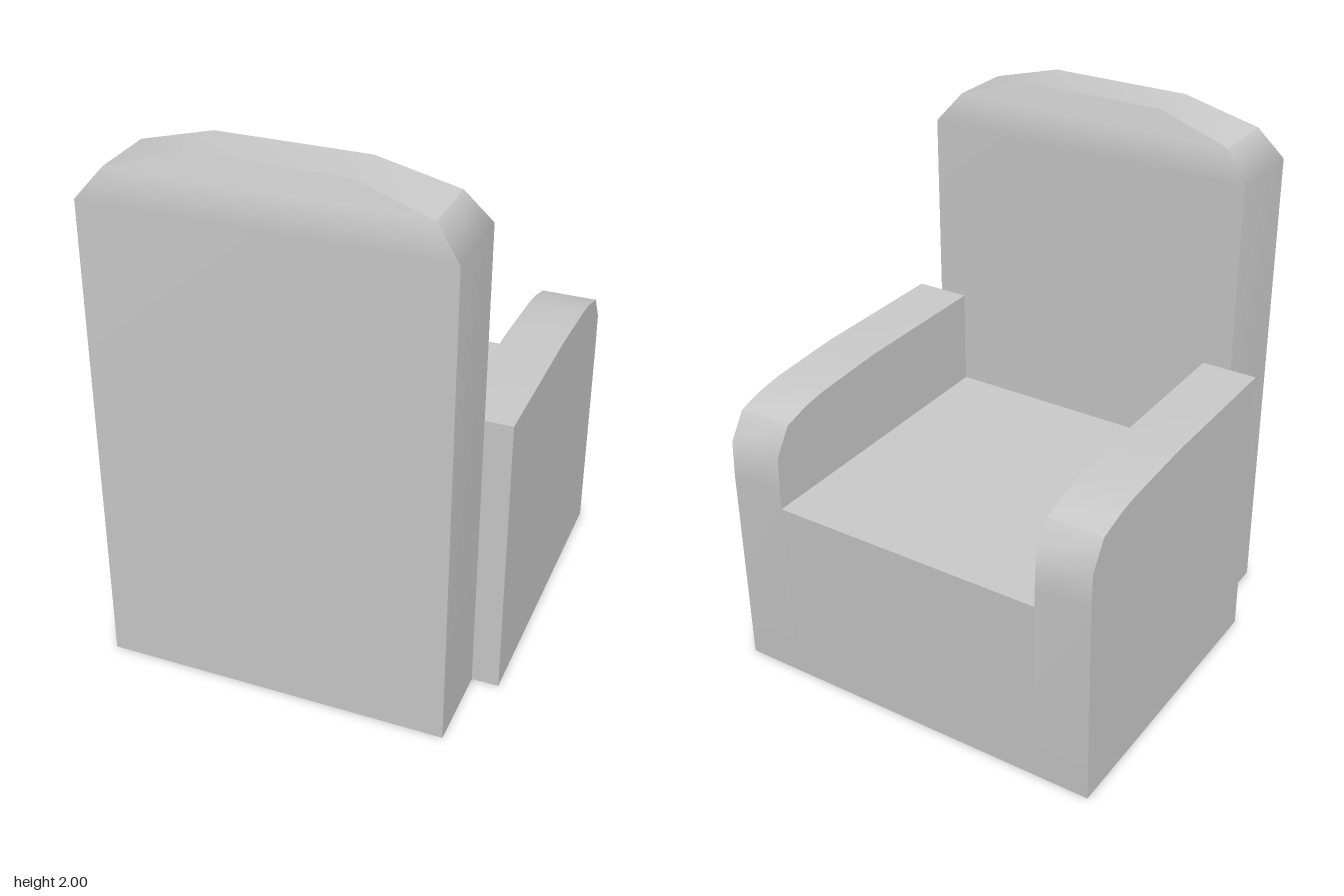
import * as THREE from 'three';
import { mergeGeometries, mergeVertices, toCreasedNormals } from 'three/addons/utils/BufferGeometryUtils.js';

// Side profile given as [z, y] points, extruded across x from x0 to x1
function sideExtrude(profile, x0, x1) {
  const shape = new THREE.Shape(profile.map(([z, y]) => new THREE.Vector2(z, y)));
  const geo = new THREE.ExtrudeGeometry(shape, { depth: x1 - x0, bevelEnabled: false });
  geo.rotateY(-Math.PI / 2);
  geo.translate(x1, 0, 0);
  return toCreasedNormals(geo, THREE.MathUtils.degToRad(36));
}

// Smooth strip through rows of two points; each strip keeps its own hard border
function strip(rows) {
  const index = [];
  for (let i = 0; i < rows.length - 1; i++) {
    const a = i * 2;
    index.push(a, a + 1, a + 3, a, a + 3, a + 2);
  }
  const geo = new THREE.BufferGeometry();
  geo.setAttribute('position', new THREE.Float32BufferAttribute(rows.flat(2), 3));
  geo.setIndex(index);
  geo.computeVertexNormals();
  return geo;
}

// Backrest cross-sections: height, half width, z of the inner and outer faces
function backrestGeometry() {
  const levels = [
    { y: 0, w: 0.64, zi: 0.42, zo: 0.745 },
    { y: 1.81, w: 0.64, zi: 0.42, zo: 0.745 },
    { y: 1.92, w: 0.55, zi: 0.458, zo: 0.706 },
    { y: 2, w: 0.27, zi: 0.486, zo: 0.68 },
  ];
  const outer = levels.map((l) => [[-l.w, l.y, l.zo], [l.w, l.y, l.zo]]);
  const inner = levels.map((l) => [[l.w, l.y, l.zi], [-l.w, l.y, l.zi]]);
  // Rim rows run up the +x side, over the top and down the -x side
  const rim = (l, s) => [[s * l.w, l.y, l.zo], [s * l.w, l.y, l.zi]];
  const [base, shoulder, corner, crown] = levels;
  return mergeGeometries([
    strip(outer),
    strip(inner),
    strip([rim(base, 1), rim(shoulder, 1), rim(corner, 1)]),
    strip([rim(corner, 1), rim(crown, 1), rim(crown, -1), rim(corner, -1)]),
    strip([rim(corner, -1), rim(shoulder, -1), rim(base, -1)]),
    strip([rim(base, -1), rim(base, 1)]),
  ]);
}

export function createModel() {
  const group = new THREE.Group();
  const material = new THREE.MeshStandardMaterial({ color: 0xcccccc });
  const add = (name, geo) => {
    const mesh = new THREE.Mesh(geo, material);
    mesh.name = name;
    group.add(mesh);
  };

  add('backrest', backrestGeometry());

  // Seat block between the arms
  add('seat', sideExtrude([[0.42, 0], [0.42, 0.73], [-0.744, 0.73], [-0.735, 0]], -0.53, 0.53));

  // Arms with a rounded front end
  const arm = [
    [0.42, 0], [0.42, 1.1], [-0.18, 1.1], [-0.48, 1.083], [-0.57, 1.07],
    [-0.675, 1.04], [-0.74, 0.94], [-0.745, 0.8], [-0.735, 0],
  ];
  add('leftArm', sideExtrude(arm, 0.53, 0.74));
  add('rightArm', sideExtrude(arm, -0.74, -0.53));

  return group;
}
